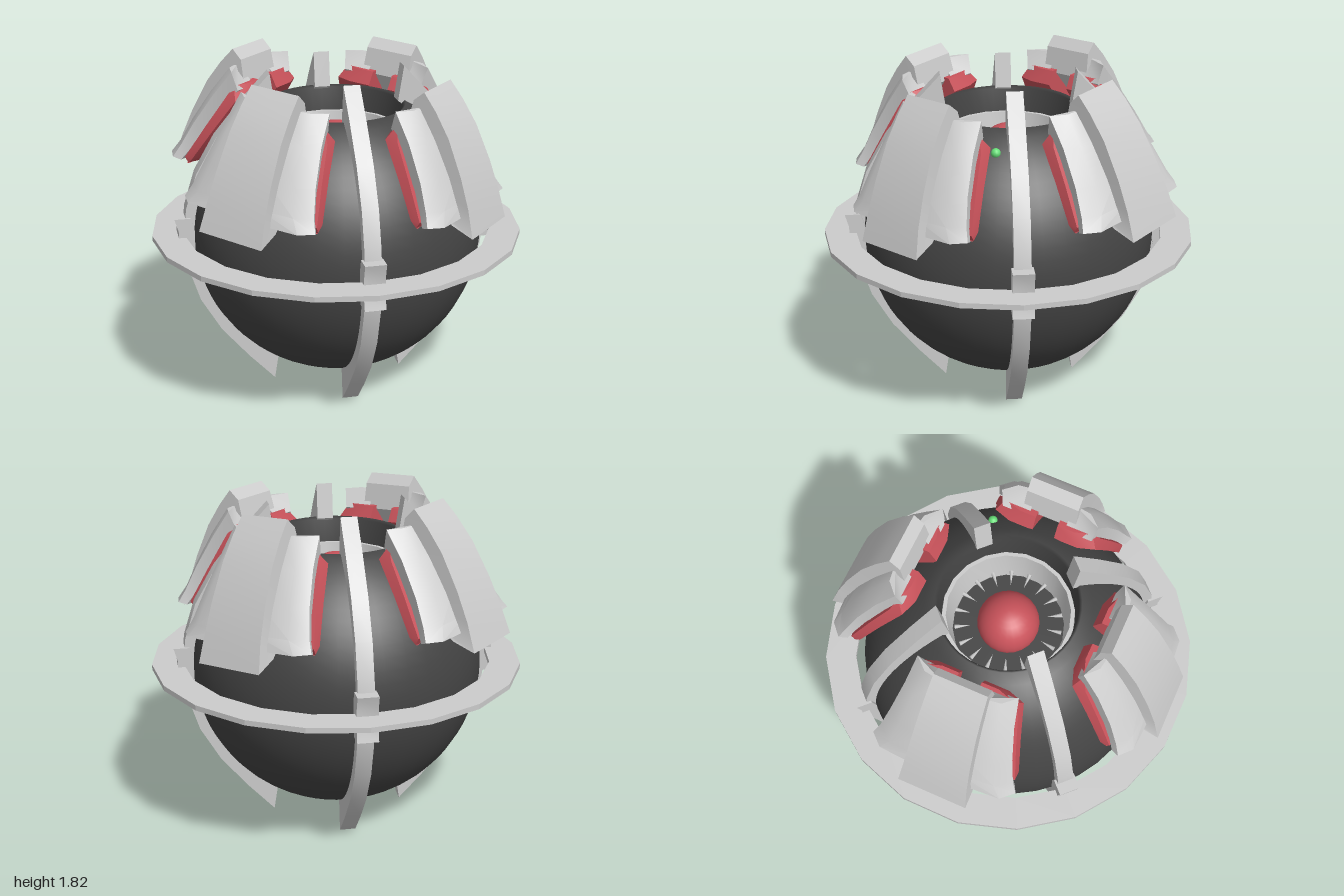
import * as THREE from 'three';
import { toCreasedNormals } from 'three/addons/utils/BufferGeometryUtils.js';

const CENTRE = 0.88; // height of the ball's centre
const RADIUS = 0.785;
const TURN = THREE.MathUtils.degToRad(9.6);

const mat = (color, side = THREE.FrontSide) => new THREE.MeshStandardMaterial({ color, side });
const grey = mat(0xcccccc), dark = mat(0x444444), red = mat(0xc8525a), green = mat(0x66dd77);

function add(parent, name, geometry, material) {
  const mesh = new THREE.Mesh(geometry, material);
  mesh.name = name;
  parent.add(mesh);
  return mesh;
}

// Closed solid through a list of equal-sized sections of [x, y, z] points
function loft(sections, crease = 0.6) {
  const n = sections[0].length, last = sections.length - 1, tris = [];
  for (let i = 0; i < last; i++) {
    for (let j = 0; j < n; j++) {
      const k = (j + 1) % n, a = sections[i], b = sections[i + 1];
      tris.push([a[j], b[j], b[k]], [a[j], b[k], a[k]]);
    }
  }
  for (let j = 1; j < n - 1; j++) {
    const a = sections[0], b = sections[last];
    tris.push([a[0], a[j], a[j + 1]], [b[0], b[j + 1], b[j]]);
  }
  // Signed volume tells whether the faces point outwards
  const v = (p) => new THREE.Vector3(...p);
  const mid = v(sections[last >> 1][0]);
  const volume = tris.reduce((s, [p, q, r]) =>
    s + v(p).sub(mid).dot(v(q).sub(mid).cross(v(r).sub(mid))), 0);
  if (volume < 0) tris.forEach((t) => t.reverse());
  const geo = new THREE.BufferGeometry();
  geo.setAttribute('position', new THREE.Float32BufferAttribute(tris.flat(2), 3));
  return toCreasedNormals(geo, crease);
}

const lathe = (points, segments) =>
  new THREE.LatheGeometry(points.map(([r, y]) => new THREE.Vector2(r, y)), segments);

function buildBall(model) {
  // Ball with an open top whose rim folds inwards
  const profile = [], rimAngle = Math.acos(0.37 / RADIUS);
  for (let i = 0; i <= 32; i++) {
    const a = -Math.PI / 2 + (i / 32) * (rimAngle + Math.PI / 2);
    profile.push([Math.max(0, RADIUS * Math.cos(a)), CENTRE + RADIUS * Math.sin(a)]);
  }
  profile.push([0.355, 1.56], [0.34, 1.42]);
  add(model, 'ball', lathe(profile, 40), dark);

  // Socket with a core and a circle of spikes
  add(model, 'socketRim', toCreasedNormals(lathe(
    [[0.345, 1.4], [0.34, 1.435], [0.32, 1.435], [0.29, 1.24]], 20), 0.5), grey);
  add(model, 'socketFloor', lathe([[0.3, 1.25], [0, 1.25]], 20), dark);
  add(model, 'core', new THREE.SphereGeometry(0.162, 24, 16), red).position.y = 1.31;
  const spikes = new THREE.Group();
  spikes.name = 'spikes';
  model.add(spikes);
  for (let i = 0; i < 18; i++) {
    const pivot = new THREE.Group();
    pivot.rotation.y = (i / 18) * Math.PI * 2;
    spikes.add(pivot);
    const spike = add(pivot, 'spike', new THREE.ConeGeometry(0.012, 0.08, 6), grey);
    spike.rotation.x = -Math.PI / 2;
    spike.position.set(0, 1.32, 0.24);
  }

  add(model, 'indicator', new THREE.SphereGeometry(0.025, 12, 8), green).position.set(0.37, 1.485, -0.34);
}

function buildRing(model) {
  const [y0, y1, inner] = [0.866, 0.894, 0.835];
  add(model, 'equatorRing', toCreasedNormals(lathe(
    [[1, y0], [1, y1], [inner, y1], [inner, y0], [1, y0]], 20), 0.2), grey);
}

function buildLeg() {
  const leg = new THREE.Group();
  leg.name = 'leg';
  // Upper half: [outer radius, outer rise, inner radius, inner rise]
  const half = [
    [0.36, 0.88, 0.33, 0.69], [0.5, 0.73, 0.46, 0.6], [0.65, 0.55, 0.58, 0.48],
    [0.76, 0.36, 0.68, 0.33], [0.82, 0.17, 0.74, 0.16],
  ];
  const rows = [...half, [0.84, 0, 0.76, 0],
    ...half.slice().reverse().map(([r, y, ri, yi]) => [r, -y, ri, -yi])];
  const w = 0.043;
  add(leg, 'rib', loft(rows.map(([r, y, ri, yi]) => [
    [-w, CENTRE + y, r], [w, CENTRE + y, r], [w, CENTRE + yi, ri], [-w, CENTRE + yi, ri],
  ])), grey);
  // Clamp around the ring, waisted at its middle
  const clamp = [[0.12, 0.8, 0.885], [0.05, 0.78, 0.865], [-0.05, 0.78, 0.865], [-0.12, 0.8, 0.885]];
  add(leg, 'clamp', loft(clamp.map(([y, a, b]) => [
    [-0.055, CENTRE + y, b], [0.055, CENTRE + y, b], [0.055, CENTRE + y, a], [-0.055, CENTRE + y, a],
  ]), 0.3), grey);
  return leg;
}

function buildPanel() {
  const panel = new THREE.Group();
  panel.name = 'armourPanel';
  // Central plate: [half width, outer y, outer z, inner y, inner z]
  const plate = [
    [0.14, 1.785, 0.585, 1.735, 0.53], [0.145, 1.7, 0.66, 1.6, 0.5], [0.152, 1.58, 0.745, 1.5, 0.58],
    [0.163, 1.4, 0.835, 1.34, 0.68], [0.173, 1.25, 0.895, 1.2, 0.75], [0.187, 1.105, 0.94, 1.15, 0.82],
  ];
  add(panel, 'centrePlate', loft(plate.map(([w, y, z, yi, zi]) => [
    [-w, y, z], [w, y, z], [w, yi, zi], [-w, yi, zi],
  ])), grey);

  // Side wings: [y, z, shoulder x, edge x, inner y, inner z]
  const wing = [
    [1.7, 0.575, 0.2, 0.265, 1.6, 0.47], [1.56, 0.675, 0.225, 0.29, 1.48, 0.56],
    [1.39, 0.775, 0.255, 0.33, 1.34, 0.66], [1.26, 0.835, 0.285, 0.365, 1.23, 0.72],
    [1.195, 0.865, 0.33, 0.395, 1.18, 0.75],
  ];
  // Padding under the wings: [y, inner z, outer z, edge x]
  const pad = [
    [1.62, 0.47, 0.54, 0.24], [1.55, 0.43, 0.58, 0.28], [1.38, 0.54, 0.68, 0.32],
    [1.2, 0.65, 0.78, 0.365], [1.165, 0.69, 0.76, 0.36],
  ];
  for (const s of [1, -1]) {
    add(panel, 'wing', loft(wing.map(([y, z, xb, xc, yi, zi]) => [
      [s * 0.1, y, z], [s * xb, y, z - 0.015], [s * xc, y, z - 0.075],
      [s * (xc - 0.02), yi, zi], [s * 0.1, yi, zi],
    ])), grey);
    add(panel, 'padding', loft(pad.map(([y, zi, zo, x]) => [
      [s * 0.06, y, zi], [s * (x - 0.09), y, zi], [s * x, y, zi + 0.03],
      [s * x, y, zo - 0.05], [s * 0.06, y, zo],
    ]), 0.4), red);
  }
  return panel;
}

export function createModel() {
  const model = new THREE.Group();
  model.name = 'armouredOrb';
  buildBall(model);
  buildRing(model);

  // The set of panels leans slightly towards the left
  const lean = new THREE.Group(), panels = new THREE.Group();
  lean.name = 'panelLean';
  panels.name = 'panels';
  lean.position.y = 1.42;
  lean.rotation.z = -0.06;
  panels.position.y = -1.42;
  lean.add(panels);
  model.add(lean);

  for (let i = 0; i < 4; i++) {
    const heading = TURN + (i * Math.PI) / 2;
    const panel = buildPanel(), leg = buildLeg();
    panel.rotation.y = heading;
    leg.rotation.y = heading + Math.PI / 4;
    panels.add(panel);
    model.add(leg);
  }
  return model;
}
